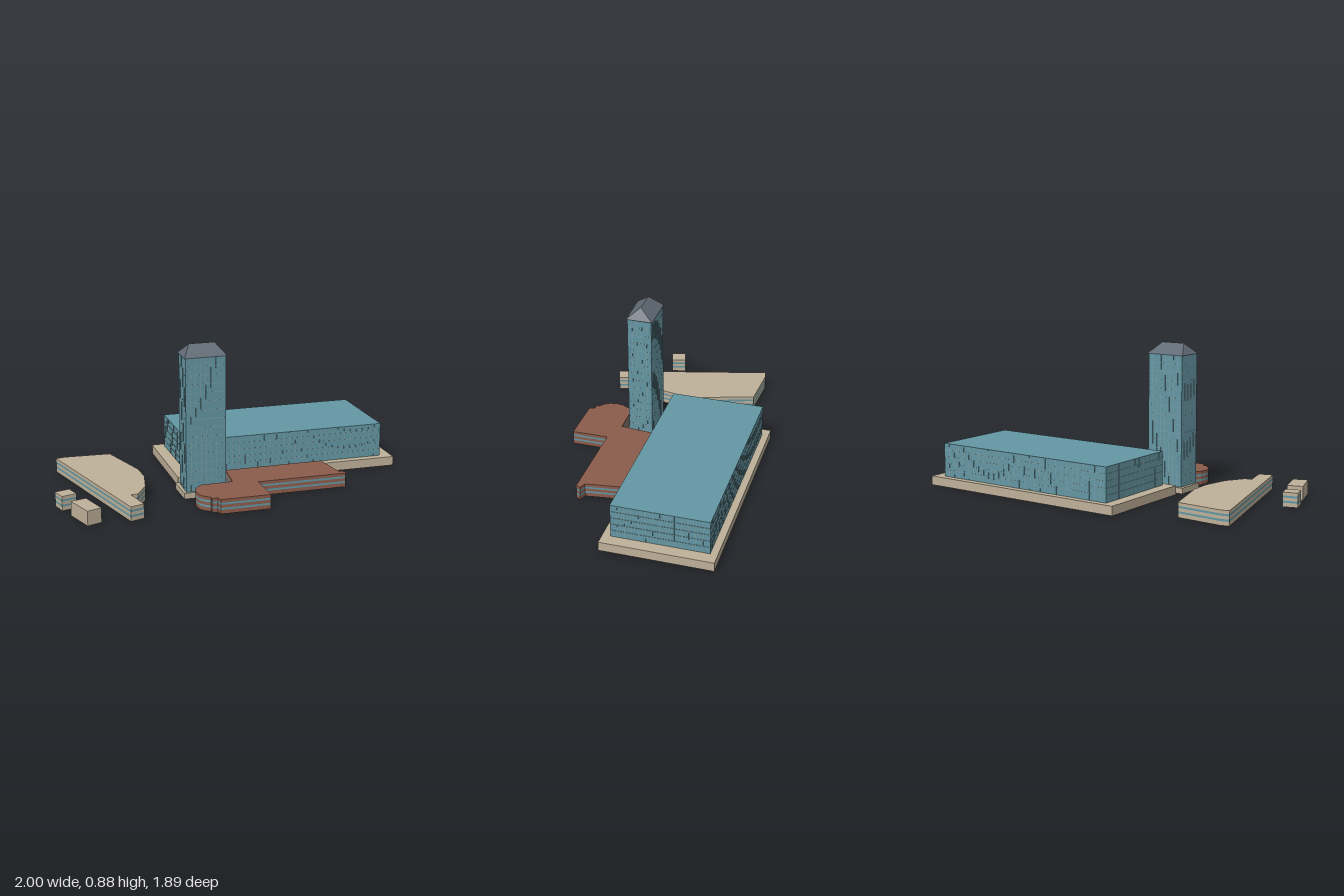
import * as THREE from 'three';

const TEAL = 0x6497a4, TAN = 0xbfb199, BRICK = 0x8c5c4c, SLATE = 0x616b75, LINE = 0x7f9fa4;

const mat = (color) => new THREE.MeshStandardMaterial({ color, flatShading: true });

function add(parent, name, geometry, color) {
  const mesh = new THREE.Mesh(geometry, mat(color));
  mesh.name = name;
  parent.add(mesh);
  return mesh;
}

// Upright prism over a ground plan of [x, z] corners, with an optional courtyard
function prism(plan, y0, y1, hole) {
  const toVec = ([x, z]) => new THREE.Vector2(x, -z);
  const shape = new THREE.Shape(plan.map(toVec));
  if (hole) shape.holes.push(new THREE.Path(hole.map(toVec)));
  const geo = new THREE.ExtrudeGeometry(shape, { depth: y1 - y0, bevelEnabled: false });
  return geo.rotateX(-Math.PI / 2).translate(0, y0, 0);
}

// Scale a plan about its middle
function grow(plan, k) {
  const cx = plan.reduce((s, p) => s + p[0], 0) / plan.length;
  const cz = plan.reduce((s, p) => s + p[1], 0) / plan.length;
  return plan.map(([x, z]) => [cx + (x - cx) * k, cz + (z - cz) * k]);
}

// Glass block with thin floor lines and mullions
function glassBlock(name, plan, y0, y1, floors, spacing) {
  const group = new THREE.Group();
  group.name = name;
  add(group, 'glassWalls', prism(plan, y0, y1), TEAL);
  const step = (y1 - y0) / floors;
  const rim = grow(plan, 1 + 0.003 / spacing * 0.05);
  for (let i = 1; i < floors; i++) {
    const y = y0 + i * step;
    add(group, 'floorLine', prism(rim, y - 0.0015, y + 0.0015, grow(plan, 0.98)), LINE);
  }
  plan.forEach(([ax, az], i) => {
    const [bx, bz] = plan[(i + 1) % plan.length];
    const length = Math.hypot(bx - ax, bz - az);
    const count = Math.round(length / spacing);
    for (let j = 1; j < count; j++) {
      const t = j / count;
      const m = add(group, 'mullion', new THREE.BoxGeometry(0.002, y1 - y0, 0.002), LINE);
      m.position.set(ax + (bx - ax) * t, (y0 + y1) / 2, az + (bz - az) * t);
      m.rotation.y = -Math.atan2(bz - az, bx - ax);
    }
  });
  return group;
}

// Low building with alternating wall and window-strip layers
function bandedBuilding(name, plan, height, color) {
  const group = new THREE.Group();
  group.name = name;
  const levels = [0, 0.024, 0.036, 0.054, 0.066, height];
  for (let i = 0; i < levels.length - 1; i++) {
    const glass = i % 2 === 1;
    add(group, glass ? 'windowStrip' : 'wallBand', prism(plan, levels[i], levels[i + 1]), glass ? TEAL : color);
  }
  return group;
}

// Hipped roof from four eave corners and a two-point ridge
function hipRoof([a, b, c, d], [r1, r2], y0, y1) {
  const lo = ([x, z]) => [x, y0, z], hi = ([x, z]) => [x, y1, z];
  const [A, B, C, D] = [a, b, c, d].map(lo);
  const [P, Q] = [r1, r2].map(hi);
  const tris = [D, C, Q, D, Q, P, A, D, P, C, B, Q, B, A, P, B, P, Q, A, B, C, A, C, D];
  const geo = new THREE.BufferGeometry();
  geo.setAttribute('position', new THREE.Float32BufferAttribute(tris.flat(), 3));
  geo.computeVertexNormals();
  return geo;
}

export function createModel() {
  const model = new THREE.Group();
  model.name = 'campus';

  // Large hall on its plinth
  const plinth = [[0.705, -0.95], [1, -0.37], [-0.22, 0.24], [-0.51, -0.335]];
  const hall = [[0.66, -0.88], [0.915, -0.38], [-0.175, 0.172], [-0.43, -0.33]];
  add(model, 'hallPlinth', prism(plinth, 0, 0.055), TAN);
  model.add(glassBlock('hall', hall, 0.055, 0.26, 5, 0.04));

  // Tower with base and hipped roof
  const tower = [[0.01, 0.18], [0.076, 0.312], [-0.132, 0.428], [-0.2, 0.285]];
  const towerBase = [[0.01, 0.148], [0.108, 0.325], [-0.14, 0.445], [-0.228, 0.278]];
  add(model, 'towerBase', prism(towerBase, 0, 0.035, tower), TAN);
  model.add(glassBlock('tower', tower, 0.002, 0.82, 16, 0.03));
  const eaves = [[-0.208, 0.283], [0.014, 0.17], [0.085, 0.315], [-0.135, 0.434]];
  add(model, 'towerRoof', hipRoof(eaves, [[-0.13, 0.338], [0.003, 0.27]], 0.82, 0.885), SLATE);

  // Brick wing with rounded end
  const brick = [
    [0.045, 0.148], [0.58, -0.125], [0.7, 0.05], [0.745, 0.045], [0.745, 0.075], [0.265, 0.315],
    [0.365, 0.51], [0.105, 0.64], [0.085, 0.612], [0.055, 0.63], [0.045, 0.61], [0.01, 0.605],
    [-0.025, 0.585], [-0.05, 0.55], [-0.065, 0.505], [-0.063, 0.46], [-0.045, 0.42], [0.118, 0.335],
  ];
  model.add(bandedBuilding('brickWing', brick, 0.085, BRICK));

  // Curved-back building
  const curved = [
    [-1, 0.115], [-0.96, 0.082], [-0.705, -0.03], [-0.585, 0.095], [-0.465, 0.22], [-0.4, 0.335],
    [-0.355, 0.495], [-0.365, 0.63], [-0.4, 0.652], [-0.295, 0.775], [-0.355, 0.835],
  ];
  model.add(bandedBuilding('curvedBuilding', curved, 0.085, TAN));

  // Two small outbuildings
  const pavilion = [[-0.765, 0.62], [-0.705, 0.685], [-0.77, 0.745], [-0.83, 0.68]];
  const shed = [[-0.632, 0.745], [-0.508, 0.875], [-0.568, 0.94], [-0.7, 0.808]];
  model.add(bandedBuilding('pavilion', pavilion, 0.085, TAN));
  add(model, 'shed', prism(shed, 0, 0.085), TAN);

  return model;
}
